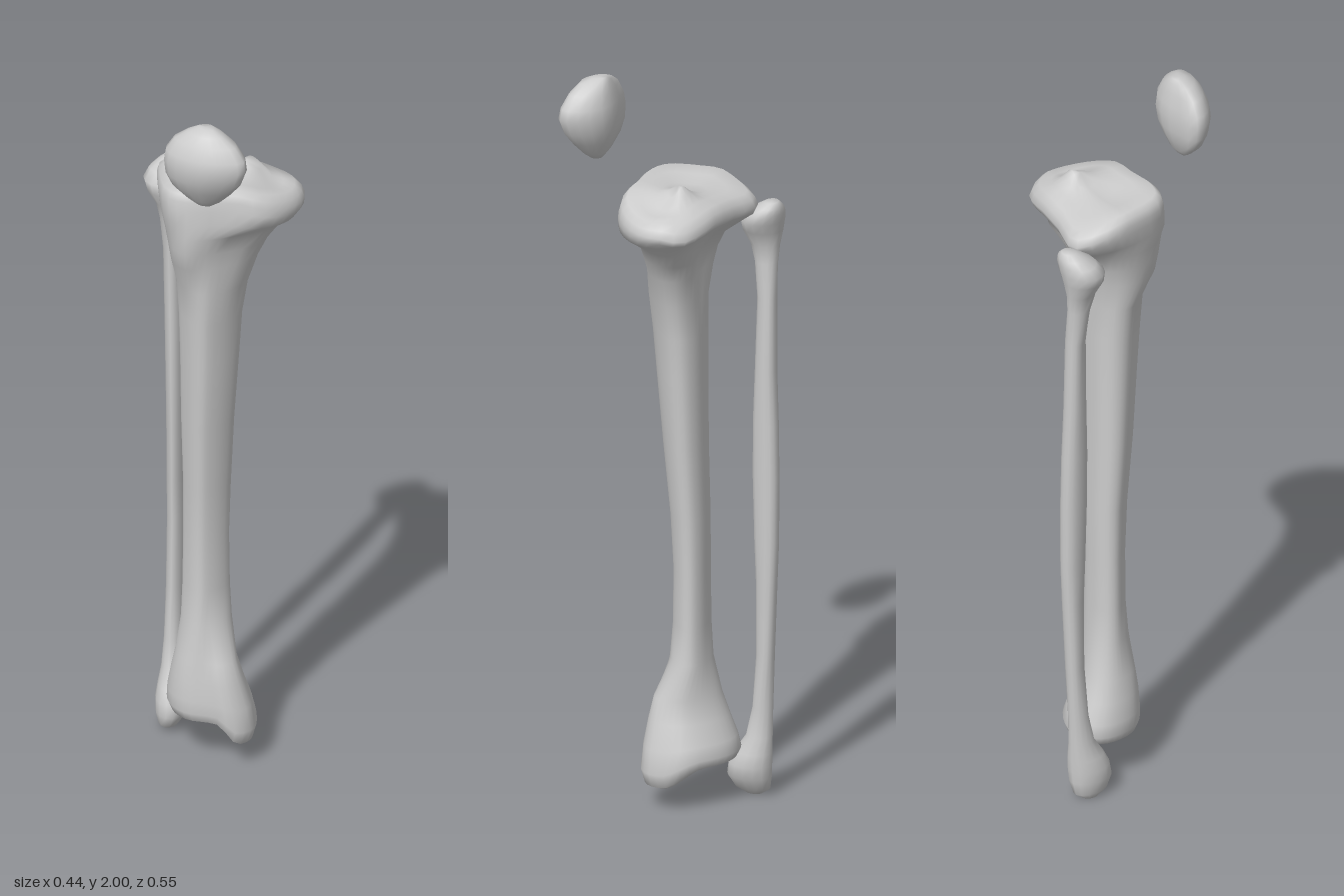
import * as THREE from 'three';

const material = new THREE.MeshStandardMaterial({ color: 0xcccccc, side: THREE.DoubleSide });

// Cross-sections in a -1..1 box: 12 points [x, z] from +x round by the front
const PLATEAU = [[1, .03], [.85, .55], [.5, .91], [0, .94], [-.48, 1], [-.8, .84],
  [-.98, .16], [-1, -.42], [-.74, -1], [-.23, -.87], [.38, -.75], [.85, -.52]];
const NECK = [[1, -.3], [.78, .25], [.3, .65], [-.15, .92], [-.52, 1], [-.86, .65],
  [-1, 0], [-.92, -.55], [-.6, -.97], [0, -.86], [.5, -.97], [.88, -.75]];
const SHAFT = [[1, -.25], [.75, .3], [.35, .75], [-.1, 1], [-.5, .75], [-.8, .3],
  [-1, -.2], [-.9, -.65], [-.5, -.95], [0, -1], [.5, -.95], [.9, -.7]];
const ANKLE = [[1, .2], [.95, .7], [.55, 1], [0, .85], [-.5, .75], [-.85, .4],
  [-1, -.1], [-.95, -.6], [-.65, -.95], [-.15, -1], [.4, -.75], [.85, -.3]];
const KNEECAP = [[1, .35], [.92, .8], [.55, .95], [.1, 1], [-.4, .75], [-.8, .3],
  [-1, -.2], [-.95, -.7], [-.5, -.85], [0, -1], [.5, -.85], [.85, -.3]];
const ROUND = Array.from({ length: 12 }, (_, i) =>
  [Math.cos(i * Math.PI / 6), Math.sin(i * Math.PI / 6)]);

const smooth = THREE.MathUtils.smoothstep;
const bump = (x, z, cx, cz, r) => Math.exp(-((x - cx) ** 2 + (z - cz) ** 2) / (r * r));

// Closed surface through rings [shape, y, x0, x1, z0, z1], listed from bottom to top
function loft(name, rings, sides, shiftY = () => 0) {
  const pos = [], index = [];
  const put = (x, y, z) => pos.push(x, y + shiftY(x, y, z), z);
  for (const [shape, y, x0, x1, z0, z1] of rings) {
    const curve = new THREE.CatmullRomCurve3(
      shape.map(([x, z]) => new THREE.Vector3(x, 0, z)), true);
    for (let j = 0; j < sides; j++) {
      const p = curve.getPoint(j / sides);
      put((x0 + x1) / 2 + p.x * (x1 - x0) / 2, y, (z0 + z1) / 2 + p.z * (z1 - z0) / 2);
    }
  }
  for (let i = 0; i < rings.length - 1; i++) {
    for (let j = 0; j < sides; j++) {
      const a = i * sides + j, b = i * sides + (j + 1) % sides;
      index.push(a, a + sides, b, b, a + sides, b + sides);
    }
  }
  // End caps
  for (const [i, up] of [[0, false], [rings.length - 1, true]]) {
    const [, y, x0, x1, z0, z1] = rings[i];
    const centre = pos.length / 3;
    put((x0 + x1) / 2, y, (z0 + z1) / 2);
    for (let j = 0; j < sides; j++) {
      const a = i * sides + j, b = i * sides + (j + 1) % sides;
      if (up) index.push(a, centre, b); else index.push(a, b, centre);
    }
  }
  const geometry = new THREE.BufferGeometry();
  geometry.setAttribute('position', new THREE.Float32BufferAttribute(pos, 3));
  geometry.setIndex(index);
  geometry.computeVertexNormals();
  const mesh = new THREE.Mesh(geometry, material);
  mesh.name = name;
  return mesh;
}

// Sloping joint surface with a central spine on top, inner ankle knob below
function shinShape(x, y, z) {
  const top = smooth(y, 1.58, 1.73), cap = smooth(y, 1.715, 1.735);
  const low = 1 - smooth(y, .11, .22);
  const slope = .3 * Math.max(0, x - .07) + .35 * Math.max(0, -z - .09);
  const spine = .035 * bump(x, z, .08, -.08, .035)
    - .012 * bump(x, z, -.05, -.06, .07) - .01 * bump(x, z, .14, -.05, .05);
  const knob = .06 * smooth(x, .0, .06) * smooth(z, -.14, -.03);
  return -top * slope + cap * spine - low * knob;
}

export function createModel() {
  const group = new THREE.Group();
  group.name = 'lowerLegBones';

  group.add(loft('shinBone', [
    [ANKLE, .13, -.07, .04, -.12, -.01],
    [ANKLE, .122, -.115, .07, -.155, .025],
    [ANKLE, .127, -.135, .087, -.172, .037],
    [ANKLE, .15, -.145, .097, -.182, .045],
    [ANKLE, .185, -.143, .085, -.172, .042],
    [ANKLE, .24, -.133, .063, -.15, .035],
    [ANKLE, .3, -.12, .045, -.13, .024],
    [SHAFT, .4, -.106, .027, -.112, .002],
    [SHAFT, .5, -.102, .022, -.106, -.007],
    [SHAFT, .65, -.1, .02, -.105, -.008],
    [SHAFT, .8, -.1, .025, -.105, 0],
    [SHAFT, 1, -.104, .035, -.1, .02],
    [SHAFT, 1.2, -.106, .049, -.1, .036],
    [SHAFT, 1.32, -.109, .057, -.1, .046],
    [SHAFT, 1.42, -.116, .073, -.1, .056],
    [NECK, 1.5, -.127, .1, -.107, .07],
    [NECK, 1.55, -.135, .125, -.12, .081],
    [NECK, 1.6, -.145, .165, -.145, .09],
    [PLATEAU, 1.645, -.16, .2, -.185, .09],
    [PLATEAU, 1.685, -.167, .219, -.212, .088],
    [PLATEAU, 1.71, -.169, .221, -.218, .085],
    [PLATEAU, 1.73, -.163, .213, -.21, .08],
    [PLATEAU, 1.743, -.148, .195, -.193, .066],
    [PLATEAU, 1.742, -.1, .165, -.155, .03],
    [PLATEAU, 1.74, -.04, .135, -.12, -.015],
    [PLATEAU, 1.738, .02, .105, -.095, -.05],
  ], 32, shinShape));

  group.add(loft('calfBone', [
    [ROUND, .003, -.17, -.14, -.21, -.165],
    [ROUND, .02, -.179, -.122, -.235, -.135],
    [ROUND, .055, -.186, -.1, -.242, -.118],
    [ROUND, .09, -.187, -.094, -.244, -.124],
    [ROUND, .125, -.182, -.1, -.245, -.142],
    [ROUND, .17, -.174, -.114, -.245, -.172],
    [ROUND, .25, -.168, -.12, -.247, -.19],
    [SHAFT, .4, -.164, -.118, -.251, -.2],
    [SHAFT, .6, -.162, -.115, -.26, -.2],
    [SHAFT, .72, -.163, -.114, -.265, -.195],
    [SHAFT, .9, -.164, -.114, -.266, -.19],
    [SHAFT, 1.05, -.166, -.115, -.263, -.19],
    [SHAFT, 1.2, -.168, -.117, -.257, -.195],
    [SHAFT, 1.4, -.172, -.122, -.255, -.2],
    [ROUND, 1.5, -.18, -.128, -.256, -.192],
    [ROUND, 1.55, -.19, -.125, -.26, -.178],
    [ROUND, 1.59, -.212, -.104, -.267, -.158],
    [ROUND, 1.62, -.222, -.088, -.272, -.157],
    [ROUND, 1.645, -.208, -.088, -.274, -.178],
    [ROUND, 1.663, -.185, -.1, -.272, -.205],
    [ROUND, 1.677, -.162, -.118, -.264, -.228],
  ], 14));

  group.add(loft('kneecap', [
    [KNEECAP, 1.772, -.035, .005, .186, .21],
    [KNEECAP, 1.79, -.062, .03, .172, .225],
    [KNEECAP, 1.825, -.1, .062, .157, .248],
    [KNEECAP, 1.86, -.117, .088, .148, .266],
    [KNEECAP, 1.9, -.121, .102, .146, .276],
    [KNEECAP, 1.93, -.116, .098, .15, .27],
    [KNEECAP, 1.965, -.093, .073, .158, .255],
    [KNEECAP, 1.988, -.058, .038, .166, .236],
    [KNEECAP, 1.999, -.03, .01, .175, .21],
  ], 18));

  return group;
}
